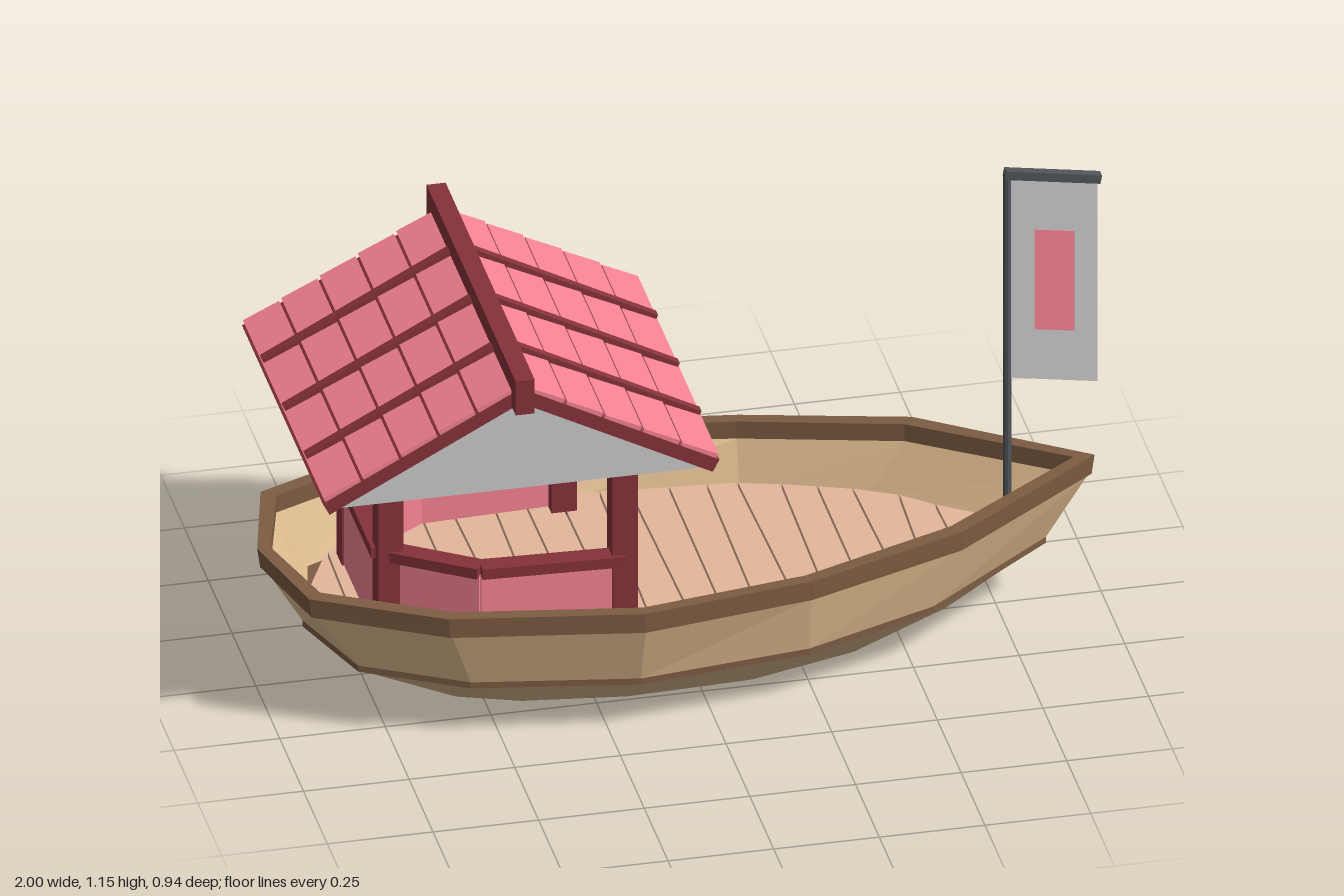
import * as THREE from 'three';

const mat = color => new THREE.MeshStandardMaterial({ color, flatShading: true });

const M = {
  hull: mat(0xe2be90), keel: mat(0xd6b388), trim: mat(0x7d5c42), deck: mat(0xe4b69a),
  red: mat(0x86323a), pink: mat(0xf68392), pole: mat(0x505458), cloth: mat(0xcccccc),
};

function add(parent, name, geometry, material, x = 0, y = 0, z = 0) {
  const mesh = new THREE.Mesh(geometry, material);
  mesh.name = name;
  mesh.position.set(x, y, z);
  parent.add(mesh);
  return mesh;
}
const box = (w, h, d) => new THREE.BoxGeometry(w, h, d);

// Closed hull outline from one half: stern tip, side points, bow tip, mirrored side
function ring(xs, ys, zs) {
  const half = xs.map((x, i) => [x, ys[i] ?? ys[0], zs[i]]);
  const back = half.slice(1, -1).reverse().map(([x, y, z]) => [x, y, -z]);
  return half.concat(back);
}

// Quads joining successive outlines
function strips(...rings) {
  const pos = [];
  for (let r = 0; r + 1 < rings.length; r++) {
    const a = rings[r], b = rings[r + 1];
    a.forEach((p, i) => {
      const j = (i + 1) % a.length;
      pos.push(...p, ...a[j], ...b[j], ...p, ...b[j], ...b[i]);
    });
  }
  const g = new THREE.BufferGeometry();
  g.setAttribute('position', new THREE.Float32BufferAttribute(pos, 3));
  g.computeVertexNormals();
  return g;
}

// Box laid between two points of the plan
function span(parent, name, [x0, z0], [x1, z1], y, h, w, material) {
  const m = add(parent, name, box(Math.hypot(x1 - x0, z1 - z0), h, w), material,
    (x0 + x1) / 2, y, (z0 + z1) / 2);
  m.rotation.y = -Math.atan2(z1 - z0, x1 - x0);
}

const DECK_Y = 0.2;
const deckX = [-0.88, -0.83, -0.58, -0.18, 0.22, 0.5, 0.83];
const deckZ = [0, 0.21, 0.33, 0.37, 0.335, 0.24, 0];

function deckWidth(x) {
  let i = 0;
  while (i < deckX.length - 2 && x > deckX[i + 1]) i++;
  const t = (x - deckX[i]) / (deckX[i + 1] - deckX[i]);
  return Math.max(0, deckZ[i] + t * (deckZ[i + 1] - deckZ[i]));
}

function makeHull() {
  const g = new THREE.Group();
  g.name = 'hull';
  const bx = [-0.65, -0.56, -0.42, -0.18, 0.12, 0.38, 0.63];
  const by = [0, 0, 0.01, 0.02, 0.01, 0, 0];
  const bottom = ring(bx, by, [0, 0.15, 0.22, 0.27, 0.24, 0.15, 0]);
  const centre = ring(bx, by, bx.map(() => 0));
  const chineY = [0.145, 0.143, 0.135, 0.126, 0.127, 0.138, 0.145];
  const chine = ring([-0.88, -0.805, -0.565, -0.18, 0.225, 0.545, 0.86], chineY,
    [0, 0.225, 0.345, 0.397, 0.35, 0.24, 0]);
  const lip = ring([-0.89, -0.81, -0.57, -0.18, 0.23, 0.55, 0.87], chineY,
    [0, 0.23, 0.35, 0.403, 0.355, 0.245, 0]);
  const lipTop = lip.map(([x, y, z]) => [x, y + 0.016, z]);

  // Gunwale rail, its outer face flush with the hull side
  const rx = [-0.99, -0.925, -0.63, -0.18, 0.23, 0.61, 0.978];
  const rz = [0, 0.255, 0.4, 0.459, 0.395, 0.272, 0];
  const ix = [-0.965, -0.9, -0.615, -0.18, 0.22, 0.59, 0.935];
  const iz = [0, 0.23, 0.37, 0.428, 0.365, 0.242, 0];
  const topY = [0.365, 0.365, 0.355, 0.345, 0.345, 0.36, 0.365];
  const gunwale = ring(rx.map(x => x * 0.992), topY.map(y => y - 0.05), rz.map(z => z * 0.985));
  const railLow = ring(rx, topY.map(y => y - 0.05), rz);
  const railTop = ring(rx.map(x => x * 1.007), topY, rz);
  const railIn = ring(ix, topY, iz);
  const railInLow = ring(ix, topY.map(y => y - 0.045), iz);
  const deckEdge = ring(deckX, [DECK_Y - 0.02], deckZ);
  const deckCentre = ring(deckX, [DECK_Y - 0.02], deckX.map(() => 0));

  add(g, 'lowerHull', strips(centre, bottom, chine), M.keel);
  add(g, 'chineStrip', strips(chine, lip, lipTop), M.trim);
  add(g, 'upperHull', strips(lipTop, gunwale), M.hull);
  add(g, 'gunwaleRail', strips(gunwale, railLow, railTop, railIn, railInLow), M.trim);
  add(g, 'innerHull', strips(railInLow, deckEdge), M.hull);
  add(g, 'underDeck', strips(deckEdge, deckCentre), M.trim);

  // Deck planks cut to the hull outline, each seam slightly skewed
  const step = 0.084, gap = 0.0025, count = 20;
  const skew = i => 0.008 * Math.sin(i * 2.3);
  for (let i = 0; i < count; i++) {
    const a = -0.87 + i * step + gap, b = -0.87 + (i + 1) * step - gap;
    const wa = deckWidth(a), wb = deckWidth(b), sa = skew(i), sb = skew(i + 1);
    const shape = new THREE.Shape([[a - sa, -wa], [b - sb, -wb], [b + sb, wb], [a + sa, wa]]
      .map(p => new THREE.Vector2(...p)));
    const geo = new THREE.ExtrudeGeometry(shape, { depth: 0.02, bevelEnabled: false });
    geo.rotateX(-Math.PI / 2);
    add(g, 'deckPlank', geo, M.deck, 0, DECK_Y - 0.02, 0);
  }
  return g;
}

function makeCabin() {
  const g = new THREE.Group();
  g.name = 'cabin';
  const front = [-0.205, 0.335], kink = [-0.54, 0.32], rear = [-0.735, 0.19];
  const flip = ([x, z]) => [x, -z];

  // Low panels and handrails
  const wall = (a, b) => {
    span(g, 'sidePanel', a, b, 0.31, 0.22, 0.02, M.pink);
    span(g, 'handrail', a, b, 0.431, 0.027, 0.05, M.red);
  };
  // Posts and beams carrying the roof
  const postFront = [-0.205, 0.32], postRear = [-0.73, 0.19];
  for (const side of [p => p, flip]) {
    for (const p of [postFront, postRear]) {
      const [x, z] = side(p);
      add(g, 'post', box(0.06, 0.57, 0.06), M.red, x, 0.475, z);
    }
    wall(side(front), side(kink));
    wall(side(kink), side(rear));
    span(g, 'topBeam', side(postFront), side(postRear), 0.715, 0.04, 0.04, M.red);
  }
  wall([-0.745, 0.19], [-0.745, -0.19]);
  for (const p of [postFront, postRear])
    span(g, 'crossBeam', p, flip(p), 0.715, 0.04, 0.04, M.red);
  return g;
}

function makeRoof() {
  const g = new THREE.Group();
  g.name = 'roof';
  g.position.set(-0.468, 0.924, 0);
  const L = 0.513, rows = 5, pitch = 0.487;

  for (const turn of [0, Math.PI]) {
    const half = new THREE.Group();
    half.name = 'roofSide';
    half.rotation.y = turn;
    const slope = new THREE.Group();
    slope.name = 'roofSlope';
    slope.rotation.z = -pitch;
    half.add(slope);
    g.add(half);
    add(slope, 'roofBoard', box(L, 0.034, 0.85), M.red, L / 2, 0.017, 0);
    // Tile rows with narrow gaps, lower edges slightly lifted
    for (let i = 0; i < rows; i++) {
      const row = add(slope, 'tileRow', box(L / rows - 0.008, 0.012, 0.846), M.pink,
        (i + 0.5) * L / rows - 0.004, 0.038, 0);
      row.rotation.z = 0.04;
    }
    for (const z of [-0.228, 0, 0.228])
      add(slope, 'batten', box(L - 0.012, 0.026, 0.023), M.red, L / 2 - 0.006, 0.043, z);
  }
  add(g, 'ridgeBeam', box(0.045, 0.09, 0.935), M.red, 0, 0.039, 0);

  // Gable triangles under both ends
  const tri = new THREE.Shape([[-0.45, -0.236], [0.45, -0.236], [0, 0]]
    .map(p => new THREE.Vector2(...p)));
  const gable = new THREE.ExtrudeGeometry(tri, { depth: 0.015, bevelEnabled: false });
  for (const z of [0.395, -0.41]) add(g, 'gable', gable, M.cloth, 0, 0.002, z);
  return g;
}

function makeBanner() {
  const g = new THREE.Group();
  g.name = 'banner';
  add(g, 'pole', new THREE.CylinderGeometry(0.01, 0.01, 0.95, 8), M.pole, 0.778, 0.67, 0);
  const arm = add(g, 'bannerArm', box(0.23, 0.022, 0.022), M.pole, 0.885, 1.121, 0);
  arm.rotation.z = -0.17;
  // Hanging panels sheared to follow the arm
  const panel = (name, w, h, d, material, x, y) => {
    const geo = box(w, h, d);
    geo.applyMatrix4(new THREE.Matrix4().makeShear(-0.17, 0, 0, 0, 0, 0));
    add(g, name, geo, material, x, y, 0);
  };
  panel('cloth', 0.205, 0.535, 0.008, M.cloth, 0.889, 0.847);
  panel('clothPatch', 0.095, 0.265, 0.012, M.pink, 0.889, 0.845);
  return g;
}

export function createModel() {
  const model = new THREE.Group();
  model.name = 'coveredBoat';
  model.add(makeHull(), makeCabin(), makeRoof(), makeBanner());
  return model;
}
